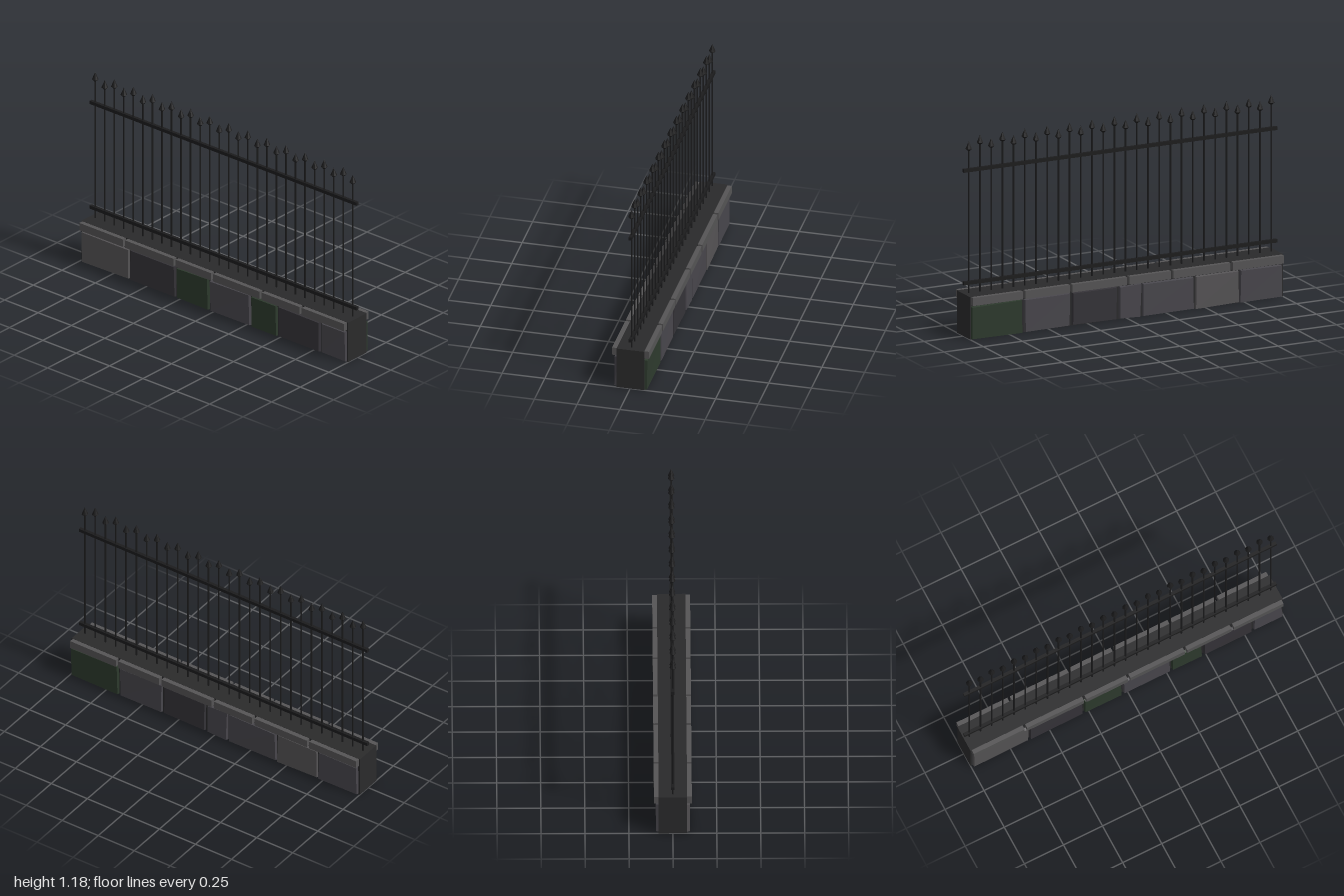
import * as THREE from 'three';

const mat = (color) => new THREE.MeshStandardMaterial({ color, flatShading: true, roughness: 0.9 });
const iron = mat(0x1c1c1d);
const coreMat = mat(0x2a2a2b);
const capMat = mat(0x555455);
const stoneMats = { light: mat(0x555355), mid: mat(0x48464c), dark: mat(0x353338), green: mat(0x2d3a2d) };

// Small seeded random number in -1..1
let seed = 7;
const rand = () => {
  seed = (seed * 16807) % 2147483647;
  return (seed / 2147483647) * 2 - 1;
};

function add(parent, name, geometry, material, x = 0, y = 0, z = 0) {
  const mesh = new THREE.Mesh(geometry, material);
  mesh.name = name;
  mesh.position.set(x, y, z);
  parent.add(mesh);
  return mesh;
}

// Rough block: a box whose outer face is narrower than its base, with uneven corners
function stoneGeometry(width, height, depth) {
  const geo = new THREE.BoxGeometry(width, height, depth);
  const p = geo.attributes.position;
  const corners = {};
  for (let i = 0; i < p.count; i++) {
    const sx = Math.sign(p.getX(i)), sy = Math.sign(p.getY(i)), sz = Math.sign(p.getZ(i));
    const j = (corners[[sx, sy, sz]] ??= [rand(), rand(), rand()]);
    if (sz > 0) {
      p.setXYZ(i,
        p.getX(i) - sx * (0.006 + 0.005 * j[0]),
        p.getY(i) - sy * (0.005 + 0.004 * j[1]),
        p.getZ(i) - 0.0015 * (1 + j[2]));
    }
  }
  geo.computeVertexNormals();
  return geo;
}

// Facing stones laid between joints, on the front (side = 1) or back (side = -1)
function stoneRow(name, side, joints, kinds) {
  const row = new THREE.Group();
  row.name = name;
  kinds.forEach((kind, i) => {
    const a = joints[i] + 0.004, b = joints[i + 1] - 0.004;
    const stone = add(row, 'facingStone', stoneGeometry(b - a, 0.196, 0.03),
      stoneMats[kind], (a + b) / 2, 0.102, side * 0.0835);
    if (side < 0) stone.rotation.y = Math.PI;
  });
  return row;
}

export function createModel() {
  seed = 7;
  const model = new THREE.Group();
  model.name = 'fenceOnWall';

  // Wall core
  add(model, 'wallCore', new THREE.BoxGeometry(2, 0.25, 0.162), coreMat, 0, 0.1295);

  // Facing stones
  model.add(stoneRow('frontStones', 1,
    [-0.995, -0.63, -0.28, -0.03, 0.28, 0.48, 0.803, 0.998],
    ['light', 'dark', 'green', 'mid', 'green', 'dark', 'mid']));
  model.add(stoneRow('backStones', -1,
    [-0.995, -0.715, -0.43, -0.095, 0.06, 0.36, 0.663, 0.998],
    ['mid', 'light', 'mid', 'mid', 'dark', 'mid', 'green']));

  // Coping slabs
  const capJoints = [-1, -0.658, -0.278, 0.003, 0.367, 0.667, 1];
  for (let i = 0; i < capJoints.length - 1; i++) {
    const a = capJoints[i] + 0.008, b = capJoints[i + 1] - 0.008;
    add(model, 'copingSlab', new THREE.BoxGeometry(b - a, 0.047, 0.216), capMat, (a + b) / 2, 0.2302);
  }

  // Horizontal rails
  for (const y of [0.315, 0.98]) {
    add(model, 'rail', new THREE.BoxGeometry(2, 0.02, 0.019), iron, 0, y);
  }

  // Pickets with spearheads, alternating tall and short
  const headGeo = new THREE.LatheGeometry(
    [[0, -0.01], [0.009, -0.01], [0.019, 0], [0, 0.046]].map(([r, y]) => new THREE.Vector2(r, y)), 8);
  const count = 28;
  for (let i = 0; i < count; i++) {
    const picket = new THREE.Group();
    picket.name = 'picket';
    picket.position.x = -0.965 + (1.93 * i) / (count - 1);
    const headY = i % 2 ? 1.106 : 1.135;
    const length = headY - 0.24;
    add(picket, 'bar', new THREE.CylinderGeometry(0.005, 0.005, length, 6), iron, 0, 0.24 + length / 2);
    add(picket, 'spearhead', headGeo, iron, 0, headY);
    model.add(picket);
  }

  return model;
}
